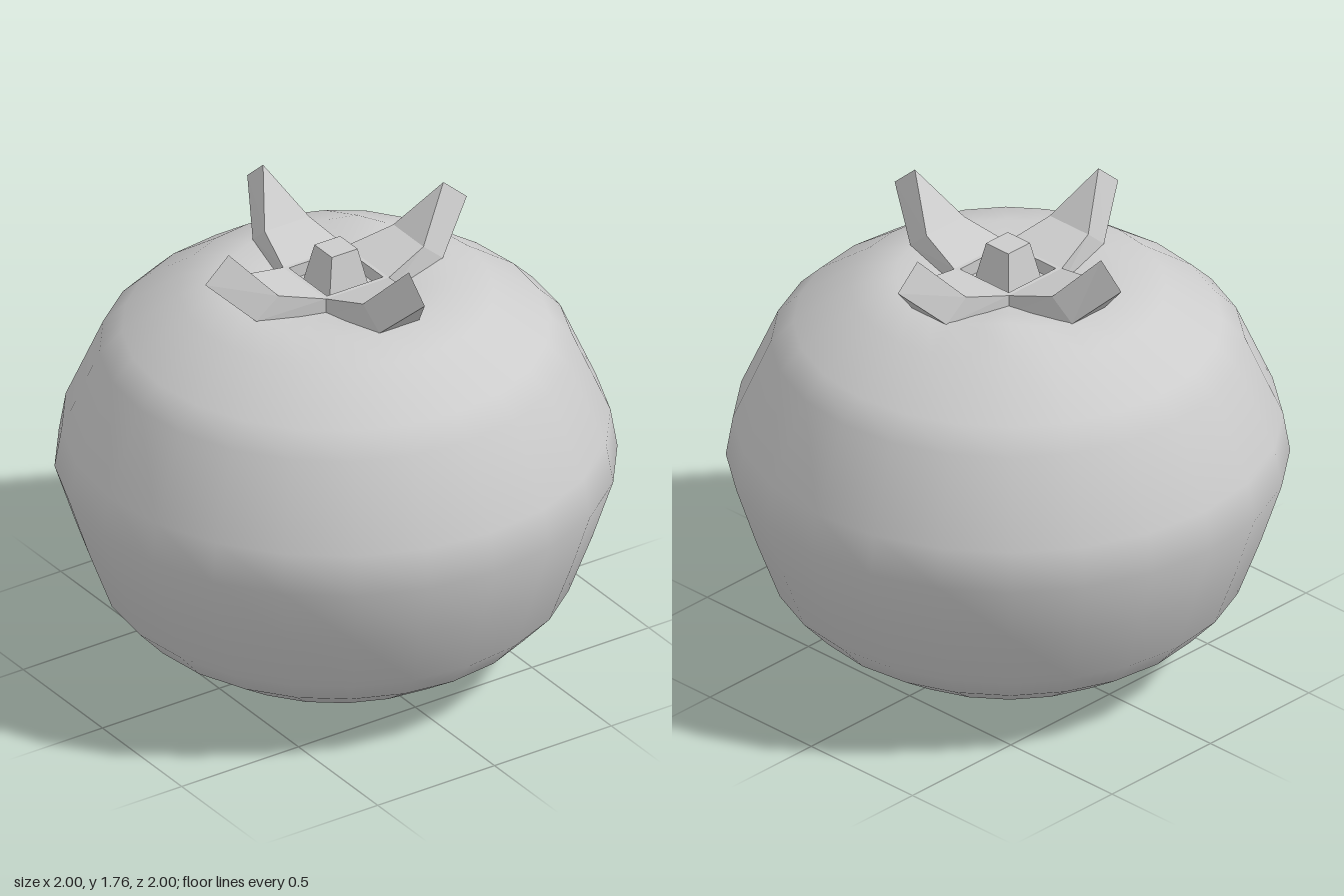
import * as THREE from 'three';
import { mergeVertices } from 'three/addons/utils/BufferGeometryUtils.js';

const grey = new THREE.MeshStandardMaterial({ color: 0xcccccc });
grey.name = 'plain grey';

function part(name, geometry) {
  const mesh = new THREE.Mesh(geometry, grey);
  mesh.name = name;
  return mesh;
}

// Split every face so that its edges stay hard
function faceted(geometry) {
  const g = geometry.index ? geometry.toNonIndexed() : geometry;
  g.computeVertexNormals();
  return g;
}

// Squashed round fruit with a dimpled top and one slight swelling
function fruitGeometry() {
  const profile = [
    [0, 0], [0.24, 0.012], [0.56, 0.1], [0.74, 0.22], [0.84, 0.33], [0.925, 0.56], [1, 0.79],
    [0.975, 0.94], [0.84, 1.25], [0.76, 1.33], [0.56, 1.47], [0.4, 1.51], [0.26, 1.49], [0, 1.47],
  ].map(([r, y]) => new THREE.Vector2(r, y));
  let g = new THREE.LatheGeometry(profile, 24);
  g.deleteAttribute('uv');
  g.deleteAttribute('normal');
  const p = g.attributes.position;
  for (let i = 0; i < p.count; i++) {
    if (p.getY(i) < 1.4) continue;
    const d = Math.hypot(p.getX(i) - 0.28, p.getZ(i) + 0.25);
    p.setY(i, p.getY(i) + 0.04 * Math.exp(-((d / 0.13) ** 2)));
  }
  g = mergeVertices(g, 1e-4);
  g.computeVertexNormals();
  return g;
}

// One thick pointed leaf along +x, lofted through four sections
function leafGeometry() {
  // top x, top y, top half width, bottom x, bottom y, bottom half width
  const sections = [
    [0.12, 1.54, 0.12, 0.12, 1.47, 0.12],
    [0.135, 1.54, 0.135, 0.135, 1.47, 0.135],
    [0.31, 1.59, 0.095, 0.4, 1.51, 0.085],
    [0.46, 1.76, 0, 0.56, 1.67, 0],
  ].map(([tx, ty, tw, bx, by, bw]) => ({
    tr: [tx, ty, tw], tl: [tx, ty, -tw], br: [bx, by, bw], bl: [bx, by, -bw],
  }));
  const v = [];
  const quad = (a, b, c, d) => v.push(...a, ...b, ...c, ...a, ...c, ...d);
  quad(sections[0].bl, sections[0].br, sections[0].tr, sections[0].tl);
  for (let i = 0; i < 3; i++) {
    const a = sections[i], b = sections[i + 1];
    quad(a.tr, b.tr, b.tl, a.tl); // top
    quad(a.bl, b.bl, b.br, a.br); // underside
    quad(a.br, b.br, b.tr, a.tr); // sides
    quad(a.tl, b.tl, b.bl, a.bl);
  }
  const g = new THREE.BufferGeometry();
  g.setAttribute('position', new THREE.Float32BufferAttribute(v, 3));
  return faceted(g);
}

export function createModel() {
  const model = new THREE.Group();
  model.name = 'fruit with leafy crown';
  model.add(part('fruit', fruitGeometry()));

  // Crown of four leaves around a shallow square recess
  const crown = new THREE.Group();
  crown.name = 'crown';
  const leaf = leafGeometry();
  for (let i = 0; i < 4; i++) {
    const mesh = part('leaf', leaf);
    mesh.rotation.y = i * Math.PI / 2;
    crown.add(mesh);
  }
  const floor = part('recessFloor', new THREE.BoxGeometry(0.24, 0.02, 0.24));
  floor.position.y = 1.48;
  crown.add(floor);

  // Tapered square stem
  const stem = part('stem', faceted(
    new THREE.CylinderGeometry(0.055 * Math.SQRT2, 0.085 * Math.SQRT2, 0.155, 4).rotateY(Math.PI / 4)));
  stem.position.y = 1.5675;
  crown.add(stem);
  model.add(crown);
  return model;
}
